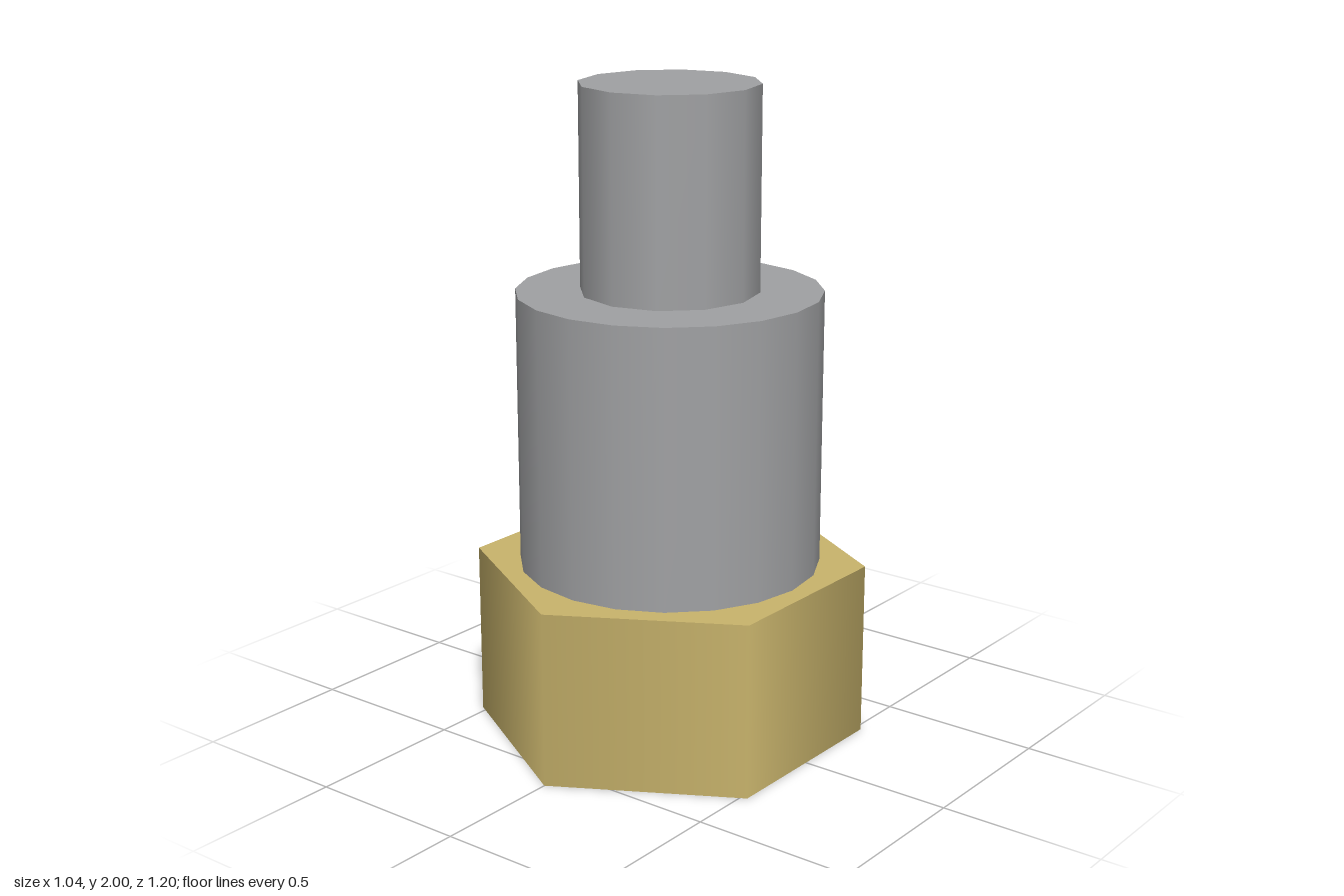
import * as THREE from 'three';

export function createModel() {
  const model = new THREE.Group();
  const steel = new THREE.MeshStandardMaterial({ color: 0xa0a1a3 });
  const brass = new THREE.MeshStandardMaterial({ color: 0xc9b46c });

  // Stacks each prism on top of the previous one
  let base = 0;
  const stack = (name, radius, height, sides, material) => {
    const mesh = new THREE.Mesh(new THREE.CylinderGeometry(radius, radius, height, sides), material);
    mesh.name = name;
    mesh.position.y = base + height / 2;
    base += height;
    model.add(mesh);
  };

  stack('hexHead', 0.6, 0.54, 6, brass); // corners point along z
  stack('shoulder', 0.46, 0.845, 20, steel);
  stack('pin', 0.27, 0.615, 12, steel);

  return model;
}
